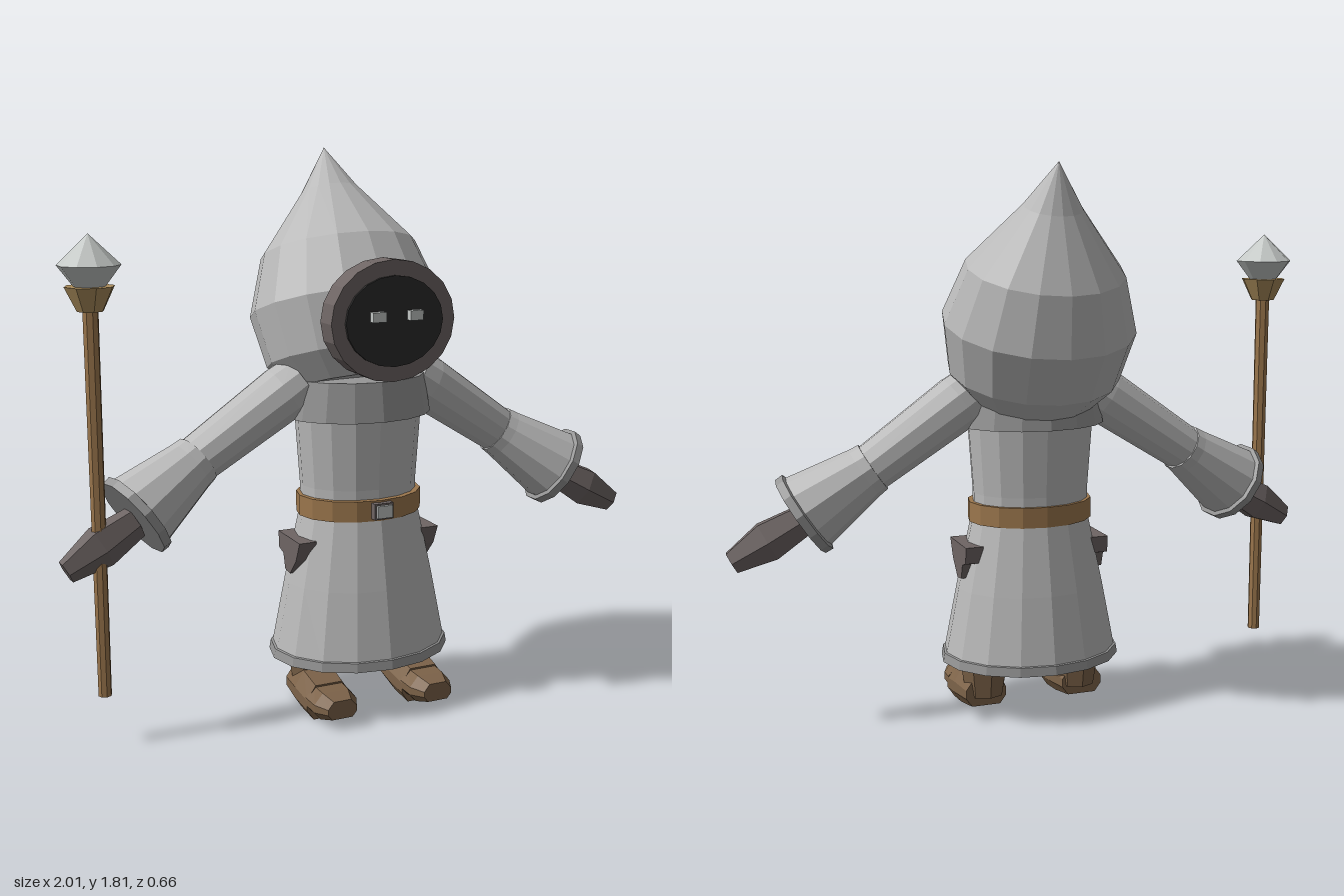
import * as THREE from 'three';

const mat = (name, color) => Object.assign(new THREE.MeshStandardMaterial({ color }), { name });

export function createModel() {
  const robe = mat('robe grey', 0xbababa);
  const trim = mat('trim grey', 0x969696);
  const dark = mat('dark taupe', 0x6e6564);
  const black = mat('face black', 0x2b2b2b);
  const brown = mat('boot brown', 0x7d6349);
  const leather = mat('belt leather', 0x9c774d);
  const gold = mat('socket tan', 0xab8d5c);
  const pale = mat('pale metal', 0xc4c8c6);

  const model = new THREE.Group();
  model.name = 'hoodedFigure';

  // Adds a faceted mesh
  const add = (name, geometry, material, x = 0, y = 0, z = 0) => {
    const g = geometry.index ? geometry.toNonIndexed() : geometry;
    g.computeVertexNormals();
    const mesh = new THREE.Mesh(g, material);
    mesh.name = name;
    mesh.position.set(x, y, z);
    model.add(mesh);
    return mesh;
  };

  // Turned solid from [radius, height] pairs, bottom to top
  const turned = (name, profile, material, x, y, z, sides = 16, depth = 1) => {
    const pts = profile.map(([r, h]) => new THREE.Vector2(r, h));
    return add(name, new THREE.LatheGeometry(pts, sides).scale(1, 1, depth), material, x, y, z);
  };

  // Turned solid laid along a line, from [radius, fraction] pairs
  const up = new THREE.Vector3(0, 1, 0);
  const limb = (name, a, b, profile, material, sides = 12, depth = 1) => {
    const from = new THREE.Vector3(...a);
    const dir = new THREE.Vector3(...b).sub(from);
    const len = dir.length();
    const mesh = turned(name, profile.map(([r, t]) => [r, t * len]), material, ...a, sides, depth);
    mesh.quaternion.setFromUnitVectors(up, dir.normalize());
    return mesh;
  };

  // Lofted solid with eight-cornered sections [z, bottom, top, halfWidth]
  const loft = (name, sections, material, x) => {
    const corners = [[-0.7, 0], [0.7, 0], [1, 0.3], [1, 0.6], [0.6, 1], [-0.6, 1], [-1, 0.6], [-1, 0.3]];
    const n = corners.length, pos = [], idx = [];
    for (const [z, lo, hi, w] of sections)
      for (const [u, v] of corners) pos.push(u * w, lo + v * (hi - lo), z);
    for (let s = 0; s < sections.length - 1; s++)
      for (let i = 0; i < n; i++) {
        const a = s * n + i, b = s * n + (i + 1) % n;
        idx.push(a, b, b + n, a, b + n, a + n);
      }
    const last = (sections.length - 1) * n;
    for (let i = 1; i < n - 1; i++) idx.push(0, i + 1, i, last, last + i, last + i + 1);
    const g = new THREE.BufferGeometry();
    g.setAttribute('position', new THREE.Float32BufferAttribute(pos, 3));
    g.setIndex(idx);
    return add(name, g, material, x, 0, 0);
  };

  // Robe
  turned('skirt', [[0, 0.2], [0.295, 0.2], [0.25, 0.43], [0.2, 0.66]], robe, 0, 0, 0.05, 16, 0.84);
  turned('skirtHem', [[0, 0.18], [0.305, 0.18], [0.3, 0.21], [0.28, 0.215]], trim, 0, 0, 0.05, 16, 0.84);
  turned('torso', [[0.195, 0.64], [0.196, 0.75], [0.213, 0.99], [0.2, 1.1], [0, 1.1]], robe, 0, 0, 0.045, 16, 0.8);
  turned('collar', [[0.19, 0.975], [0.247, 0.975], [0.225, 1.1], [0, 1.12]], trim, 0, 0, 0.04, 16, 0.8);

  // Belt and buckle
  turned('belt', [[0.18, 0.653], [0.21, 0.653], [0.21, 0.72], [0.18, 0.72]], leather, 0, 0, 0.05, 16, 0.82);
  add('buckleFrame', new THREE.BoxGeometry(0.066, 0.052, 0.03), dark, 0, 0.688, 0.225);
  add('buckle', new THREE.BoxGeometry(0.052, 0.04, 0.04), pale, 0, 0.688, 0.23);

  // Pointed hood, leaning back from its tip
  turned('hood', [[0, -0.785], [0.215, -0.785], [0.285, -0.7], [0.318, -0.53], [0.258, -0.345],
    [0.096, -0.145], [0, 0]], robe, 0, 1.815, -0.215, 16, 0.92).rotation.x = -0.325;

  // Face opening and eyes
  const disc = (name, rx, ry, z0, z1, material) => {
    const g = new THREE.CylinderGeometry(1, 1, z1 - z0, 20).rotateX(Math.PI / 2).scale(rx, ry, 1);
    add(name, g, material, 0, 1.302, (z0 + z1) / 2);
  };
  disc('faceRing', 0.21, 0.188, 0.22, 0.3, dark);
  disc('faceShadow', 0.165, 0.14, 0.29, 0.309, black);

  for (const s of [1, -1]) {
    const side = s > 0 ? 'left' : 'right';
    add(side + 'Eye', new THREE.BoxGeometry(0.044, 0.03, 0.03), pale, s * 0.063, 1.32, 0.317);

    // Sleeve and hand
    limb(side + 'UpperArm', [s * 0.2, 1.09, 0.03], [s * 0.56, 0.852, 0.015],
      [[0, 0], [0.088, 0], [0.092, 0.15], [0.078, 1], [0, 1]], robe);
    const elbow = [s * 0.54, 0.865, 0.015], cuff = [s * 0.768, 0.712, 0.057];
    limb(side + 'Forearm', elbow, cuff,
      [[0, 0], [0.084, 0], [0.088, 0.12], [0.13, 0.93], [0, 0.93]], robe);
    limb(side + 'Cuff', elbow, cuff, [[0.12, 0.88], [0.142, 0.9], [0.14, 1], [0, 1]], trim);
    limb(side + 'Hand', [s * 0.76, 0.7, 0.06], [s * 0.985, 0.575, 0.08],
      [[0, 0], [0.055, 0], [0.072, 0.5], [0.04, 1], [0, 1]], dark, 6, 0.72);

    // Torn patch on the side of the skirt
    const patch = new THREE.Shape([[-0.14, 0.585], [-0.11, 0.52], [-0.06, 0.465], [-0.02, 0.47], [-0.005, 0.52],
      [0.03, 0.53], [0.035, 0.585]].map(p => new THREE.Vector2(...p)));
    const plate = new THREE.ExtrudeGeometry(patch, { depth: 0.06, bevelEnabled: false }).rotateY(Math.PI / 2);
    add(side + 'SkirtPatch', plate, dark, s > 0 ? 0.19 : -0.25, 0, 0);

    // Boot: shaft, foot and toe cap
    const x = s * 0.172;
    turned(side + 'BootShaft', [[0, 0.06], [0.065, 0.06], [0.088, 0.2], [0, 0.2]], brown, s * 0.165, 0, 0.04, 8);
    loft(side + 'Foot', [[0, 0.03, 0.125, 0.07], [0.1, 0.015, 0.14, 0.082], [0.19, 0.005, 0.12, 0.078]], brown, x);
    loft(side + 'ToeCap', [[0.18, 0.03, 0.115, 0.078], [0.24, 0.025, 0.112, 0.074],
      [0.295, 0.04, 0.1, 0.05]], brown, x);
  }

  // Staff held in the right hand
  const sx = -0.88, sz = 0.08;
  turned('staffPole', [[0, 0.165], [0.021, 0.165], [0.024, 1.37], [0, 1.37]], leather, sx, 0, sz, 8);
  turned('staffSocket', [[0, 1.355], [0.04, 1.355], [0.076, 1.428], [0, 1.428]], gold, sx, 0, sz, 8);
  turned('staffGem', [[0, 1.425], [0.045, 1.425], [0.094, 1.49], [0, 1.58]], pale, sx, 0, sz, 10);

  return model;
}
